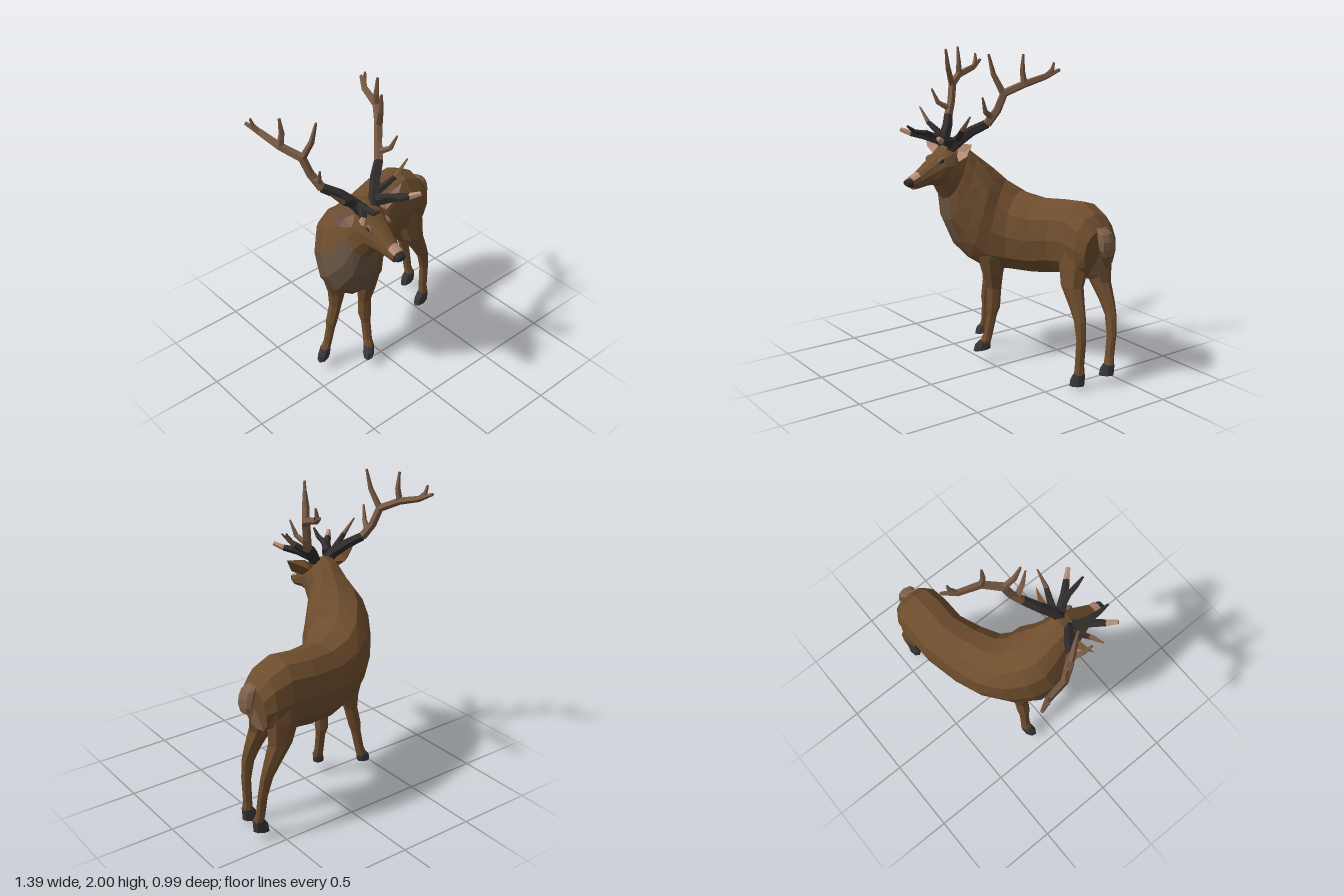
import * as THREE from 'three';

const HIDE = 0x6f4e2e, MANTLE = 0x6a5544, PALE = 0x7f6049, DARK = 0x2f2c2b, HOOF = 0x38383a, HORN = 0x7a5b45, TIP = 0xb68e76;
const V = (x, y, z) => new THREE.Vector3(x, y, z);
const MID = -0.265; // mirror plane of the head
const mirror = p => V(2 * MID - p.x, p.y, p.z);

function mesh(name, positions, color) {
  const g = new THREE.BufferGeometry();
  g.setAttribute('position', new THREE.Float32BufferAttribute(positions, 3));
  g.computeVertexNormals();
  const m = new THREE.Mesh(g, new THREE.MeshStandardMaterial({ color, flatShading: true }));
  m.name = name;
  return m;
}

// Skin a closed run of rings; pick(i, j) may send a face to another [name, color]
function loft(parent, name, color, rings, pick = () => null) {
  const tris = [], n = rings[0].length, last = rings.length - 1;
  const add = (key, ...p) => tris.push({ key: key || [name, color], p });
  for (let i = 0; i < last; i++) for (let j = 0; j < n; j++) {
    const k = (j + 1) % n, a = rings[i][j], b = rings[i][k], c = rings[i + 1][k], d = rings[i + 1][j];
    add(pick(i, j), a, b, c);
    add(pick(i, j), a, c, d);
  }
  [0, last].forEach((r, end) => {
    const c = rings[r].reduce((s, p) => s.add(p), V(0, 0, 0)).divideScalar(n);
    for (let j = 0; j < n; j++) {
      const a = rings[r][j], b = rings[r][(j + 1) % n], key = pick(end ? last - 1 : 0, j);
      end ? add(key, c, a, b) : add(key, c, b, a);
    }
  });
  // turn the faces outward
  const o = rings[0][0];
  const volume = tris.reduce((s, { p }) => {
    const [a, b, c] = p.map(q => q.clone().sub(o));
    return s + a.dot(b.cross(c));
  }, 0);
  const buckets = new Map();
  for (const { key, p } of tris) {
    if (!buckets.has(key[0])) buckets.set(key[0], { color: key[1], pos: [] });
    for (const q of volume < 0 ? [p[0], p[2], p[1]] : p) buckets.get(key[0]).pos.push(q.x, q.y, q.z);
  }
  buckets.forEach((b, key) => parent.add(mesh(key, b.pos, b.color)));
}

// Ring between a top and a bottom point, heading a (0 faces -x, PI/2 faces +z)
function bodyRing([tx, ty, tz, bx, by, bz, w, a]) {
  const T = V(tx, ty, tz), B = V(bx, by, bz), c = T.clone().add(B).multiplyScalar(0.5);
  const up = T.sub(c), side = V(Math.sin(a), 0, Math.cos(a)), soft = t => Math.sign(t) * Math.abs(t) ** 0.87;
  return Array.from({ length: 12 }, (_, j) => {
    const t = j * Math.PI / 6;
    return c.clone().addScaledVector(up, soft(Math.cos(t))).addScaledVector(side, w * soft(Math.sin(t)));
  });
}

// Level ring: f is the radius along the heading, s the radius across it
function legRing([x, y, z, f, s], a) {
  return Array.from({ length: 8 }, (_, j) => {
    const t = j * Math.PI / 4, u = f * Math.cos(t), v = s * Math.sin(t);
    return V(x - u * Math.cos(a) + v * Math.sin(a), y, z + u * Math.sin(a) + v * Math.cos(a));
  });
}

function leg(parent, name, a, sole, rows) {
  const g = new THREE.Group();
  g.name = name;
  parent.add(g);
  loft(g, name + 'Limb', HIDE, rows.map(r => legRing(r, a)));
  const [x, y, z] = rows[rows.length - 1];
  const step = (h, d, f, s) => legRing([x - d * Math.cos(a), h, z + d * Math.sin(a), f, s], a);
  const toe = step(sole, 0.022, 0.056, 0.036);
  toe.forEach((p, j) => { p.y += 0.012 * (1 - Math.cos(j * Math.PI / 4)); });
  loft(g, name + 'Hoof', HOOF, [step(y + 0.012, 0, 0.036, 0.034), step((y + sole) / 2 + 0.01, 0.016, 0.052, 0.036), toe]);
}

// Tapered branch through points [x, y, z, radius]
function branch(parent, name, color, pts, flip) {
  const P = pts.map(p => V(p[0], p[1], p[2]));
  const rings = P.map((p, i) => {
    const d = P[Math.min(i + 1, P.length - 1)].clone().sub(P[Math.max(i - 1, 0)]).normalize();
    const u = V(0.8, 0.6, 0).cross(d).normalize(), v = d.clone().cross(u);
    return Array.from({ length: 5 }, (_, j) => {
      const t = j * 2 * Math.PI / 5, r = pts[i][3];
      const q = p.clone().addScaledVector(u, r * Math.cos(t)).addScaledVector(v, r * Math.sin(t));
      return flip ? mirror(q) : q;
    });
  });
  loft(parent, name, color, rings);
}

export function createModel() {
  const model = new THREE.Group();
  model.name = 'stag';

  // Trunk, neck and head: top point, bottom point, half width, heading
  const H = Math.PI / 2;
  const trunk = [
    [0.618, 0.99, -0.33, 0.58, 0.7, -0.33, 0.125, 0],
    [0.55, 1.075, -0.33, 0.54, 0.665, -0.33, 0.155, 0],
    [0.43, 1.13, -0.33, 0.43, 0.665, -0.33, 0.165, 0],
    [0.27, 1.115, -0.325, 0.27, 0.645, -0.325, 0.168, 0.1],
    [0.1, 1.1, -0.275, 0.1, 0.615, -0.265, 0.185, 0.35],
    [-0.05, 1.125, -0.22, -0.05, 0.615, -0.19, 0.2, 0.5],
    [-0.13, 1.19, -0.17, -0.19, 0.615, -0.065, 0.212, 0.75],
    [-0.185, 1.27, -0.1, -0.27, 0.68, 0.035, 0.218, 1.0],
    [-0.22, 1.325, -0.04, -0.315, 0.78, 0.12, 0.198, 1.2],
    [-0.24, 1.375, 0.02, -0.3, 0.94, 0.2, 0.152, 1.4],
    [-0.258, 1.425, 0.08, -0.28, 1.09, 0.22, 0.122, H],
    [-0.265, 1.455, 0.15, -0.272, 1.18, 0.275, 0.106, H],
    [-0.267, 1.43, 0.22, -0.27, 1.19, 0.305, 0.094, H],
    [-0.268, 1.36, 0.31, -0.27, 1.19, 0.355, 0.068, H],
    [-0.27, 1.285, 0.41, -0.27, 1.18, 0.41, 0.047, H],
    [-0.27, 1.26, 0.46, -0.27, 1.178, 0.445, 0.043, H],
  ].map(bodyRing);
  const mantle = ['chestMantle', MANTLE], rump = ['rumpPatch', PALE], muzzle = ['muzzle', TIP];
  loft(model, 'body', HIDE, trunk, (i, j) => {
    if (i >= 7 && i <= 9 && j >= 5 && j <= 8) return mantle;
    if (i === 0 && j >= 5 && j <= 6) return rump;
    if (i === 14 && (j < 2 || j > 9)) return muzzle;
    return null;
  });
  loft(model, 'nose', DARK, [
    [-0.27, 1.25, 0.458, -0.27, 1.19, 0.446, 0.038, H],
    [-0.272, 1.245, 0.478, -0.272, 1.195, 0.472, 0.036, H],
    [-0.273, 1.235, 0.492, -0.273, 1.205, 0.487, 0.026, H],
  ].map(bodyRing));

  // Tail
  loft(model, 'tail', PALE, [
    [0.605, 1.0, -0.33, 0.025, 0.035], [0.635, 0.975, -0.33, 0.036, 0.052], [0.65, 0.93, -0.33, 0.04, 0.058],
    [0.66, 0.88, -0.33, 0.03, 0.06], [0.665, 0.84, -0.33, 0.018, 0.04],
  ].map(r => legRing(r, 0)));

  // Legs: x, y, z, radius along, radius across
  leg(model, 'leftForeleg', 0.75, 0.07, [
    [-0.08, 0.84, 0, 0.11, 0.06], [-0.085, 0.72, -0.02, 0.095, 0.07], [-0.095, 0.6, -0.035, 0.068, 0.06],
    [-0.098, 0.5, -0.05, 0.047, 0.043], [-0.103, 0.37, -0.045, 0.045, 0.042], [-0.103, 0.32, -0.035, 0.033, 0.032],
    [-0.11, 0.19, -0.01, 0.03, 0.03], [-0.115, 0.135, 0.01, 0.036, 0.035]]);
  leg(model, 'rightForeleg', 0.35, 0.075, [
    [-0.27, 0.84, -0.15, 0.11, 0.06], [-0.26, 0.72, -0.145, 0.1, 0.065], [-0.25, 0.6, -0.14, 0.07, 0.058],
    [-0.27, 0.5, -0.135, 0.046, 0.043], [-0.303, 0.37, -0.14, 0.043, 0.04], [-0.312, 0.32, -0.142, 0.033, 0.032],
    [-0.335, 0.2, -0.15, 0.03, 0.03], [-0.355, 0.14, -0.155, 0.036, 0.034]]);
  leg(model, 'leftHindleg', 0, 0, [
    [0.45, 0.98, -0.25, 0.11, 0.065], [0.462, 0.78, -0.245, 0.115, 0.078], [0.482, 0.63, -0.215, 0.08, 0.06],
    [0.54, 0.51, -0.207, 0.06, 0.038], [0.573, 0.43, -0.205, 0.046, 0.03], [0.588, 0.31, -0.205, 0.032, 0.028],
    [0.58, 0.15, -0.202, 0.03, 0.027], [0.583, 0.085, -0.2, 0.034, 0.032]]);
  leg(model, 'rightHindleg', 0, 0.04, [
    [0.45, 0.98, -0.41, 0.11, 0.065], [0.465, 0.78, -0.42, 0.115, 0.075], [0.49, 0.63, -0.43, 0.08, 0.058],
    [0.555, 0.51, -0.436, 0.06, 0.038], [0.592, 0.43, -0.435, 0.044, 0.029], [0.616, 0.31, -0.425, 0.032, 0.027],
    [0.622, 0.18, -0.408, 0.03, 0.027], [0.632, 0.12, -0.395, 0.034, 0.032]]);

  // Paired parts of the head
  for (const flip of [false, true]) {
    const side = flip ? 'left' : 'right', place = flip ? mirror : p => p;

    // Antler: dark lower beam, lighter crown, tines
    const antler = new THREE.Group();
    antler.name = side + 'Antler';
    model.add(antler);
    const tube = (name, color, pts) => branch(antler, name, color, pts, flip);
    tube('lowerBeam', DARK, [[-0.305, 1.4, 0.19, 0.04], [-0.34, 1.46, 0.165, 0.038], [-0.4, 1.525, 0.1, 0.033], [-0.48, 1.575, 0.04, 0.029]]);
    tube('upperBeam', HORN, [[-0.48, 1.575, 0.04, 0.029], [-0.52, 1.66, -0.01, 0.026], [-0.55, 1.765, -0.04, 0.027],
      [-0.62, 1.82, -0.14, 0.024], [-0.65, 1.86, -0.28, 0.02], [-0.69, 1.9, -0.36, 0.01]]);
    tube('crownFork', HORN, [[-0.65, 1.86, -0.28, 0.017], [-0.675, 1.9, -0.31, 0.014], [-0.685, 1.945, -0.315, 0.007]]);
    tube('rearTine', HORN, [[-0.62, 1.815, -0.14, 0.022], [-0.61, 1.9, -0.13, 0.017], [-0.62, 2, -0.13, 0.008]]);
    tube('upperTine', HORN, [[-0.55, 1.755, -0.04, 0.022], [-0.515, 1.88, 0.015, 0.017], [-0.5, 2, 0.04, 0.008]]);
    tube('middleTine', HORN, [[-0.5, 1.62, 0.02, 0.022], [-0.53, 1.66, 0.085, 0.016], [-0.55, 1.75, 0.12, 0.006]]);
    tube('sideTine', DARK, [[-0.36, 1.48, 0.17, 0.024], [-0.46, 1.55, 0.205, 0.016]]);
    tube('sideTip', HORN, [[-0.46, 1.55, 0.205, 0.016], [-0.55, 1.64, 0.21, 0.005]]);
    tube('browTine', DARK, [[-0.32, 1.45, 0.2, 0.034], [-0.38, 1.48, 0.28, 0.027], [-0.44, 1.495, 0.345, 0.021]]);
    tube('browTip', TIP, [[-0.44, 1.495, 0.345, 0.021], [-0.485, 1.52, 0.395, 0.014]]);
    tube('innerTine', DARK, [[-0.33, 1.46, 0.2, 0.028], [-0.36, 1.5, 0.29, 0.02], [-0.37, 1.515, 0.36, 0.016], [-0.375, 1.555, 0.41, 0.007]]);

    // Ear: hide-coloured shell with a paler inner face
    const rim = [V(-0.33, 1.4, 0.17), V(-0.41, 1.455, 0.165), V(-0.53, 1.47, 0.185), V(-0.49, 1.39, 0.195), V(-0.4, 1.345, 0.195)].map(place);
    const fan = c => rim.flatMap((p, i) => [place(c), p, rim[(i + 1) % 5]]).flatMap(p => [p.x, p.y, p.z]);
    for (const [name, c, color] of [['EarBack', V(-0.405, 1.405, 0.115), HIDE], ['EarInside', V(-0.42, 1.405, 0.165), TIP]]) {
      const ear = mesh(side + name, fan(c), color);
      ear.material.side = THREE.DoubleSide;
      model.add(ear);
    }

    // Eye with a pale lid
    for (const [name, r, out, color] of [['EyeLid', 0.026, 0, PALE], ['Eye', 0.017, 0.008, DARK]]) {
      const eye = new THREE.Mesh(new THREE.SphereGeometry(r, 7, 5), new THREE.MeshStandardMaterial({ color, flatShading: true }));
      eye.name = side + name;
      eye.scale.set(0.6, 0.7, 1.15);
      eye.position.copy(place(V(-0.335 - out, 1.35, 0.28)));
      eye.rotation.x = 0.5;
      model.add(eye);
    }
  }
  return model;
}
